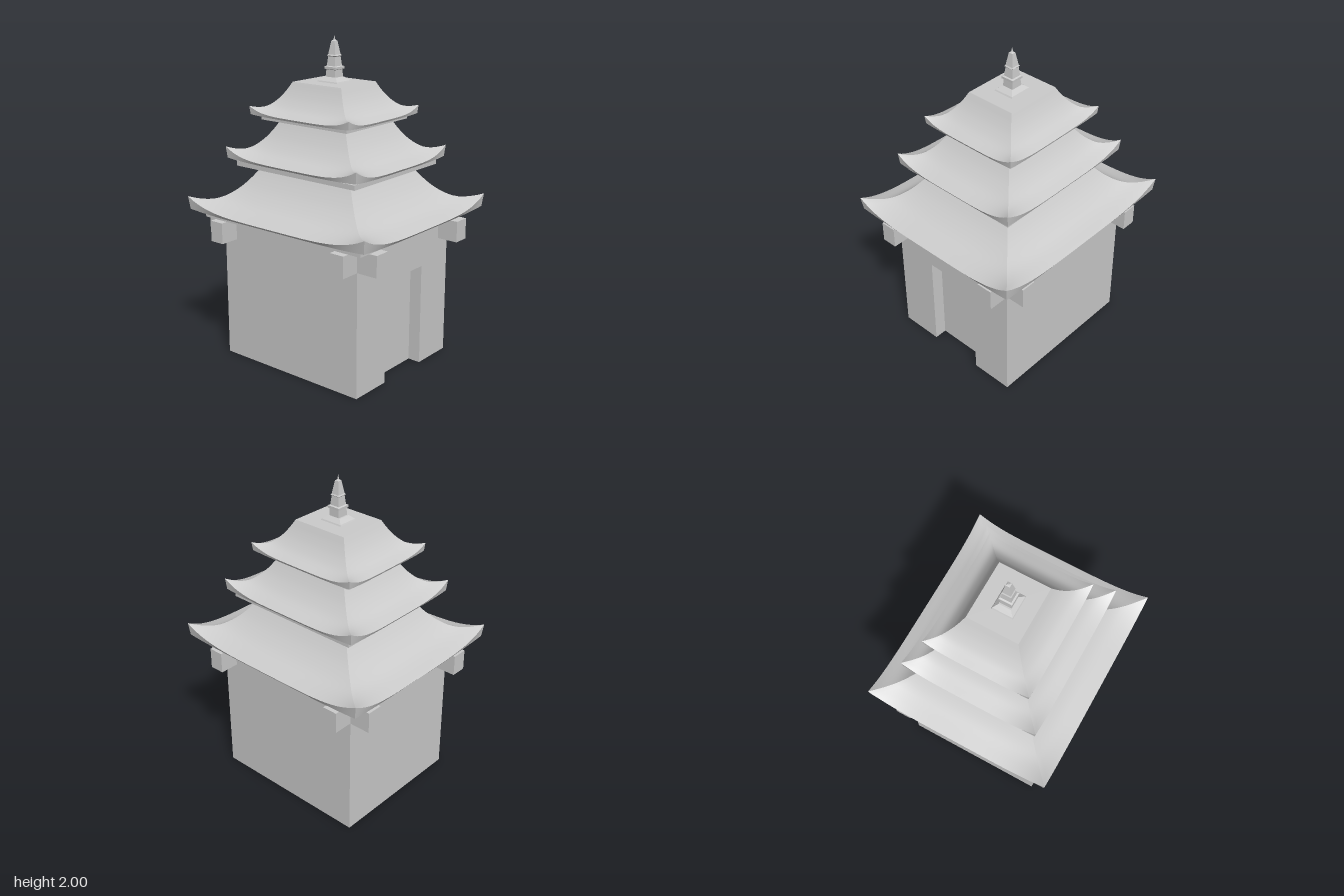
import * as THREE from 'three';

const material = new THREE.MeshStandardMaterial({ color: 0xcccccc });

function add(parent, name, geometry, x = 0, y = 0, z = 0) {
  const mesh = new THREE.Mesh(geometry, material);
  mesh.name = name;
  mesh.position.set(x, y, z);
  parent.add(mesh);
  return mesh;
}

// Box from its extents on each axis
function block(parent, name, x0, x1, y0, y1, z0, z1) {
  return add(parent, name, new THREE.BoxGeometry(x1 - x0, y1 - y0, z1 - z0),
    (x0 + x1) / 2, (y0 + y1) / 2, (z0 + z1) / 2);
}

// Smooth patch: point(u, v) with u, v in 0..1, facing du x dv
function patch(point, nu, nv) {
  const positions = [], index = [];
  for (let j = 0; j <= nv; j++) {
    for (let i = 0; i <= nu; i++) positions.push(...point(i / nu, j / nv));
  }
  for (let j = 0; j < nv; j++) {
    for (let i = 0; i < nu; i++) {
      const a = j * (nu + 1) + i, b = a + 1, c = a + nu + 1, d = c + 1;
      index.push(a, b, d, a, d, c);
    }
  }
  const g = new THREE.BufferGeometry();
  g.setAttribute('position', new THREE.Float32BufferAttribute(positions, 3));
  g.setIndex(index);
  g.computeVertexNormals();
  return g;
}

// Roof slope: [outward fraction, height fraction], ridge to eave
const slope = new THREE.CatmullRomCurve3(
  [[0, 1], [0.15, 0.72], [0.35, 0.43], [0.62, 0.17], [1, 0]]
    .map(([s, h]) => new THREE.Vector3(s, h, 0)));

// Four-sided concave roof with upturned corners
function roof(parent, name, { eave, top, inner, y0, y1, lift, z = 0 }) {
  const group = new THREE.Group();
  group.name = name;
  group.position.z = z;
  parent.add(group);
  const rim = 0.012;
  for (let k = 0; k < 4; k++) {
    const [along, out] = k % 2 ? [1, 0] : [0, 1];
    const turn = (a, y, d) => [[a, y, d], [d, y, -a], [-a, y, -d], [-d, y, a]][k];
    const spread = (u) => 2 * u - 1;
    const rise = (u) => lift * Math.abs(spread(u)) ** 4.5;
    const mix = THREE.MathUtils.lerp;

    add(group, 'roofSlope', patch((u, v) => {
      const p = slope.getPoint(1 - v);
      const a = mix(top[along], eave[along], p.x), d = mix(top[out], eave[out], p.x);
      return turn(a * spread(u), mix(y0 + rim, y1, p.y) + rise(u) * p.x ** 3, d);
    }, 32, 18));

    // Rim thickens toward the corners, its foot set slightly inward
    const foot = (u) => y0 + rise(u) * 0.15;
    add(group, 'eaveRim', patch((u, v) => {
      const s = mix(0.985, 1, v);
      return turn(eave[along] * s * spread(u), mix(foot(u), y0 + rim + rise(u), v), eave[out] * s);
    }, 32, 1));

    add(group, 'eaveUnderside', patch((u, v) => turn(
      mix(inner[along], eave[along] * 0.985, v) * spread(u),
      mix(y0, foot(u), v * v),
      mix(inner[out], eave[out] * 0.985, v)), 32, 4));
  }
  return group;
}

// Square turned shape from [half width, y] points
function squareLathe(points) {
  const profile = points.map(([r, y]) => new THREE.Vector2(r * Math.SQRT2, y));
  const g = new THREE.LatheGeometry(profile, 4, Math.PI / 4).toNonIndexed();
  g.computeVertexNormals();
  return g;
}

export function createModel() {
  const model = new THREE.Group();
  model.name = 'pagoda';

  // Hall with a recessed doorway open at the ground
  block(model, 'hall', -0.45, 0.45, 0, 0.9, -0.515, 0.435);
  const wall = new THREE.Shape([
    [-0.45, 0], [-0.18, 0], [-0.18, 0.635], [0.18, 0.635],
    [0.18, 0], [0.45, 0], [0.45, 0.9], [-0.45, 0.9],
  ].map(([x, y]) => new THREE.Vector2(x, y)));
  add(model, 'frontWall',
    new THREE.ExtrudeGeometry(wall, { depth: 0.08, bevelEnabled: false }), 0, 0, 0.435);

  // Pair of beam ends at each corner
  for (const sx of [-1, 1]) {
    for (const sz of [-1, 1]) {
      add(model, 'frontBackBeamEnd', new THREE.BoxGeometry(0.1, 0.13, 0.135),
        sx * 0.4, 0.835, sz * 0.5825);
      add(model, 'sideBeamEnd', new THREE.BoxGeometry(0.122, 0.13, 0.095),
        sx * 0.511, 0.835, sz * 0.4675);
    }
  }

  // Stacked slabs and roofs
  block(model, 'lowerSlab', -0.53, 0.53, 0.9, 0.945, -0.6, 0.6);
  roof(model, 'lowerRoof', {
    eave: [0.6, 0.68], top: [0.29, 0.335], inner: [0.5, 0.57], y0: 0.938, y1: 1.225, lift: 0.08,
  });
  block(model, 'middleSlab', -0.4, 0.4, 1.22, 1.25, -0.453, 0.453);
  block(model, 'middleCore', -0.28, 0.28, 1.25, 1.275, -0.33, 0.33);
  roof(model, 'middleRoof', {
    eave: [0.438, 0.5], top: [0.215, 0.245], inner: [0.27, 0.32], y0: 1.258, y1: 1.505, lift: 0.068, z: -0.005,
  });
  block(model, 'upperSlab', -0.29, 0.29, 1.5, 1.523, -0.345, 0.31);
  block(model, 'upperCore', -0.2, 0.2, 1.523, 1.545, -0.25, 0.21);
  const upper = roof(model, 'upperRoof', {
    eave: [0.335, 0.38], top: [0.162, 0.185], inner: [0.19, 0.22], y0: 1.525, y1: 1.725, lift: 0.045, z: -0.02,
  });
  const cap = new THREE.PlaneGeometry(0.324, 0.37).rotateX(-Math.PI / 2);
  add(upper, 'roofCap', cap, 0, 1.725, 0);

  // Square finial
  const base = squareLathe([[0.067, 1.725], [0.063, 1.733], [0.038, 1.755], [0, 1.755]]);
  add(model, 'finialBase', base, 0, 0, -0.02).scale.z = 1.14;
  add(model, 'finialSpire', squareLathe([
    [0.036, 1.755], [0.034, 1.798], [0.042, 1.802], [0.042, 1.816], [0.032, 1.82],
    [0.026, 1.875], [0.031, 1.88], [0.026, 1.887], [0.013, 1.965], [0.004, 1.972], [0, 2],
  ]), 0, 0, -0.018);

  return model;
}
